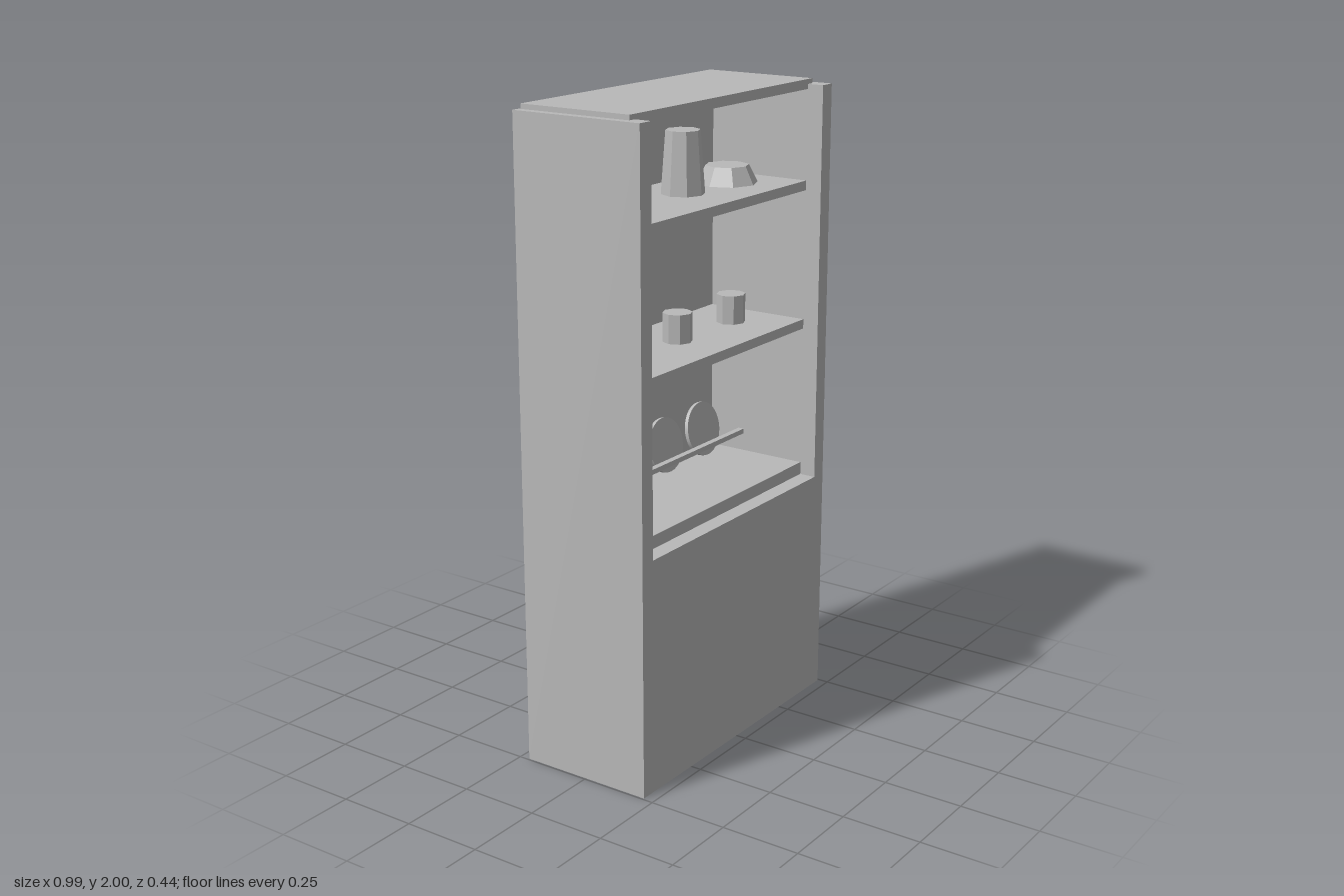
import * as THREE from 'three';

export function createModel() {
  const root = new THREE.Group();
  root.name = 'dishCupboard';
  const paint = new THREE.MeshStandardMaterial({ color: 0xb8b8b8 });
  paint.name = 'grey paint';

  const add = (name, geometry, x, y, z) => {
    const mesh = new THREE.Mesh(geometry, paint);
    mesh.name = name;
    mesh.position.set(x, y, z);
    root.add(mesh);
    return mesh;
  };
  // box given by its limits on each axis
  const box = (name, x0, x1, y0, y1, z0, z1) =>
    add(name, new THREE.BoxGeometry(x1 - x0, y1 - y0, z1 - z0),
      (x0 + x1) / 2, (y0 + y1) / 2, (z0 + z1) / 2);
  // faceted vessel standing on a shelf
  const vessel = (name, x, z, y, height, top, bottom) =>
    add(name, new THREE.CylinderGeometry(top, bottom, height, 8).toNonIndexed(), x, y + height / 2, z)
      .geometry.computeVertexNormals();

  const W = 0.494, IN = 0.443, FRONT = 0.216, BACK = -0.219, INNER_BACK = -0.183, H = 1.985;

  // Carcass
  box('leftSide', IN, W, 0, H, BACK, FRONT);
  box('rightSide', -W, -IN, 0, H, BACK, FRONT);
  box('backPanel', -IN, IN, 0, H, BACK, INNER_BACK);
  box('lowerCabinet', -IN, IN, 0, 0.735, INNER_BACK, FRONT);
  box('topBoard', -0.467, 0.467, 1.97, 2, -0.212, 0.163);

  // Shelves, set back from the front edge
  box('bottomShelf', -IN, IN, 0.735, 0.775, INNER_BACK, 0.163);
  box('middleShelf', -IN, IN, 1.22, 1.25, INNER_BACK, 0.163);
  box('upperShelf', -IN, IN, 1.66, 1.69, INNER_BACK, 0.163);
  box('plateRail', -IN, IN, 0.832, 0.848, -0.077, -0.057);

  // Plates leaning back behind the rail
  for (const x of [-0.315, -0.107, 0.102, 0.31]) {
    const plate = new THREE.CylinderGeometry(0.087, 0.087, 0.012, 32);
    plate.rotateX(Math.PI / 2 - 0.2);
    add('plate', plate, x, 0.87, -0.13);
  }

  // Cups on the middle shelf
  for (const x of [-0.294, 0, 0.29]) vessel('cup', x, -0.01, 1.25, 0.09, 0.046, 0.046);

  // Vases and upturned bowl on the upper shelf
  vessel('tallVase', -0.253, -0.03, 1.69, 0.233, 0.051, 0.077);
  vessel('shortVase', 0.05, -0.025, 1.69, 0.19, 0.053, 0.067);
  vessel('bowl', 0.278, -0.02, 1.69, 0.055, 0.068, 0.096);

  return root;
}
